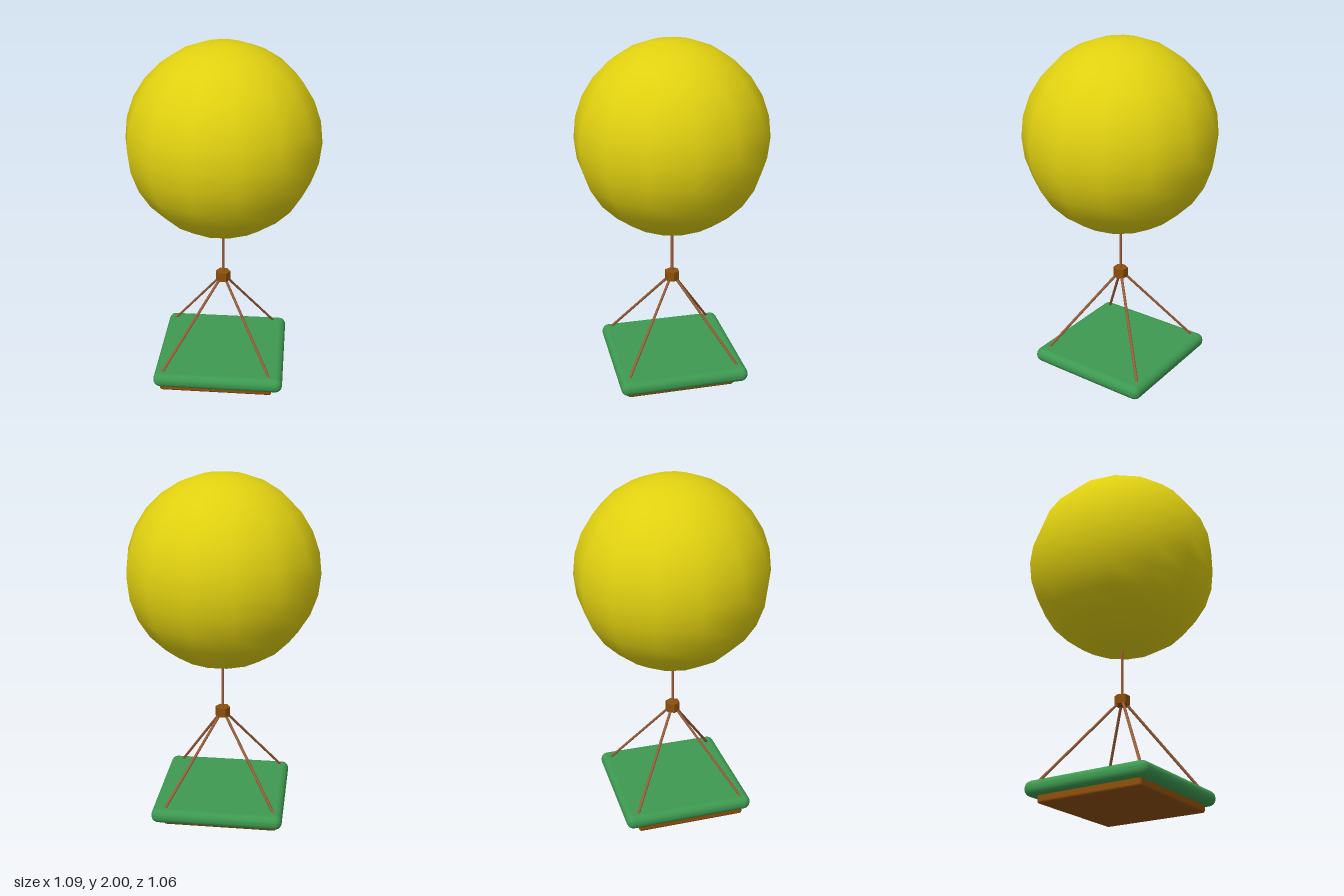
import * as THREE from 'three';
import { RoundedBoxGeometry } from 'three/addons/geometries/RoundedBoxGeometry.js';

const material = (color) => new THREE.MeshStandardMaterial({ color });

export function createModel() {
  const model = new THREE.Group();
  const yellow = material(0xe0d010);
  const green = material(0x3d9950);
  const wood = material(0x8f500c);
  const ropeBrown = material(0xa0603a);

  const add = (name, geometry, mat, x, y, z) => {
    const mesh = new THREE.Mesh(geometry, mat);
    mesh.name = name;
    mesh.position.set(x, y, z);
    model.add(mesh);
    return mesh;
  };

  // Thin straight rope between two points
  const addRope = (name, from, to) => {
    const direction = to.clone().sub(from);
    const middle = from.clone().add(to).multiplyScalar(0.5);
    const rope = add(name, new THREE.CylinderGeometry(0.008, 0.008, direction.length(), 6),
      ropeBrown, middle.x, middle.y, middle.z);
    rope.quaternion.setFromUnitVectors(new THREE.Vector3(0, 1, 0), direction.normalize());
  };

  // Balloon, with a vertex of its outline on the x axis
  add('balloon', new THREE.SphereGeometry(0.545, 14, 14), yellow, 0, 1.455, 0);

  // Hexagonal knot block joining the ropes
  const knotShape = new THREE.CylinderGeometry(0.043, 0.043, 0.055, 6).rotateY(Math.PI / 6);
  const knot = add('knot', knotShape, wood.clone(), 0, 0.612, 0);
  knot.material.flatShading = true;

  // Central rope
  addRope('mainRope', new THREE.Vector3(0, 0.6, 0), new THREE.Vector3(0, 0.93, 0));

  // Four ropes to the corners of the platform
  const corners = [[-0.335, 0.325], [0.3, 0.325], [0.3, -0.33], [-0.335, -0.31]];
  for (const [x, z] of corners) {
    addRope('cornerRope', new THREE.Vector3(0, 0.62, 0), new THREE.Vector3(x, 0.115, z));
  }

  // Padded platform on a wooden base
  add('cushion', new RoundedBoxGeometry(0.75, 0.085, 0.75, 3, 0.04), green, -0.003, 0.0875, 0);
  add('base', new RoundedBoxGeometry(0.655, 0.075, 0.63, 2, 0.014), wood, -0.017, 0.042, 0.015);

  return model;
}
